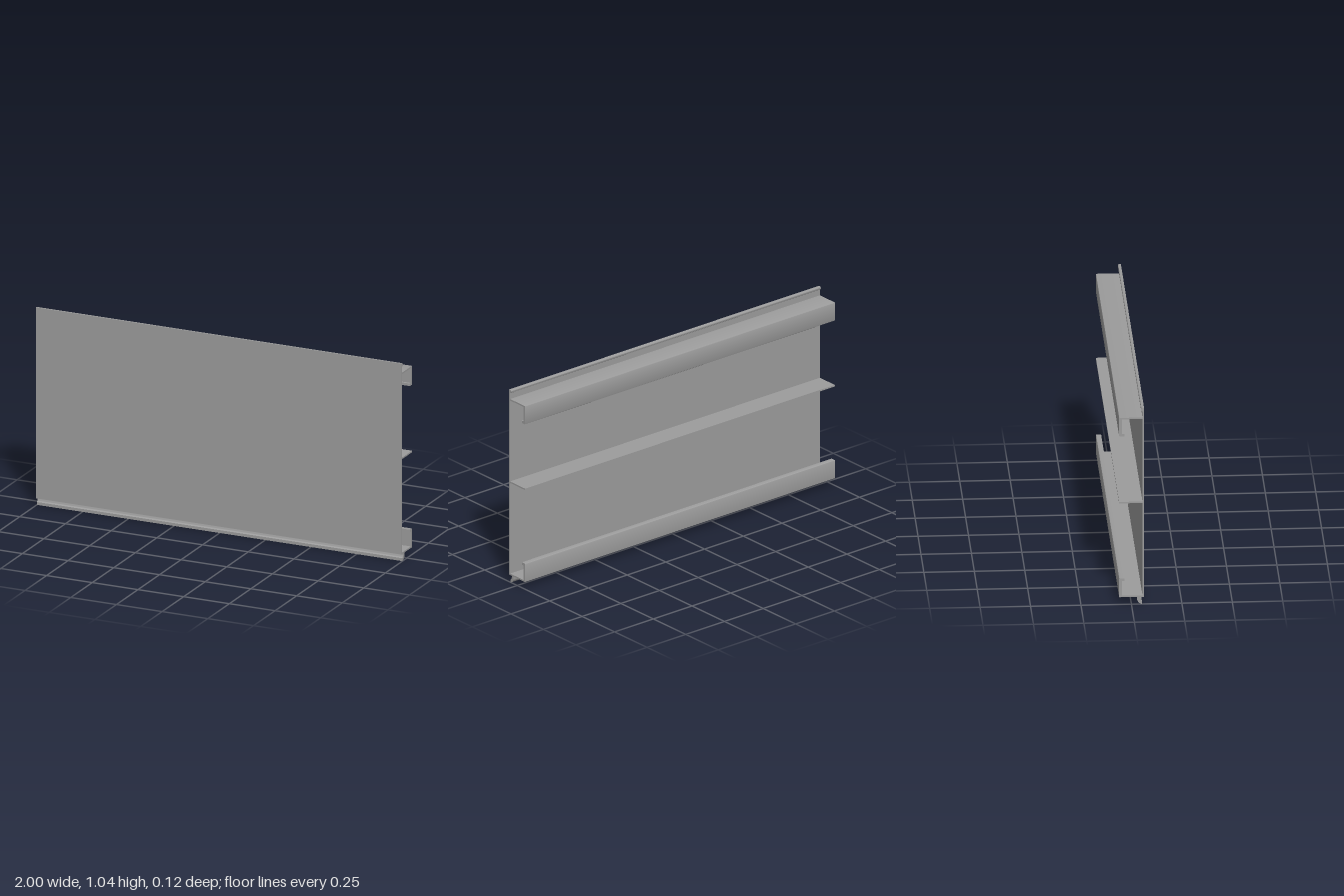
import * as THREE from 'three';
import { toCreasedNormals } from 'three/addons/utils/BufferGeometryUtils.js';

const LENGTH = 2;

export function createModel() {
  const group = new THREE.Group();
  group.name = 'extrudedPanel';
  const metal = new THREE.MeshStandardMaterial({ color: 0x9c9c9c });
  metal.name = 'grey metal';

  // Extrude a (z, y) cross-section along x.
  function addProfile(name, shape) {
    let geo = new THREE.ExtrudeGeometry(shape, { depth: LENGTH, bevelEnabled: false, curveSegments: 8 });
    geo.rotateY(-Math.PI / 2);
    geo.translate(LENGTH / 2, 0, 0);
    geo = toCreasedNormals(geo, 0.6);
    const mesh = new THREE.Mesh(geo, metal);
    mesh.name = name;
    group.add(mesh);
  }

  const polygon = (points) => new THREE.Shape(points.map(([z, y]) => new THREE.Vector2(z, y)));

  // Front sheet with a rounded bead along the back of its top edge
  const sheet = new THREE.Shape();
  sheet.moveTo(0.063, 0.038);
  sheet.lineTo(0.063, 1.037);
  sheet.lineTo(0.055, 1.037);
  sheet.quadraticCurveTo(0.048, 1.037, 0.048, 1.03);
  sheet.lineTo(0.048, 1.026);
  sheet.quadraticCurveTo(0.048, 1.021, 0.055, 1.02);
  sheet.lineTo(0.055, 0.038);
  addProfile('frontSheet', sheet);

  // Hooked channel: flange, back web and short return lip; dir points toward the lip
  function addChannel(name, yOuter, dir) {
    const y = (d) => yOuter + dir * d;
    const s = new THREE.Shape();
    s.moveTo(0.055, y(0));
    s.lineTo(-0.058, y(0));
    s.quadraticCurveTo(-0.061, y(0), -0.061, y(0.003));
    s.lineTo(-0.061, y(0.094));
    s.quadraticCurveTo(-0.061, y(0.099), -0.056, y(0.099));
    s.lineTo(-0.035, y(0.099));
    s.lineTo(-0.035, y(0.086));
    s.lineTo(-0.047, y(0.086));
    s.lineTo(-0.047, y(0.008));
    s.lineTo(0.055, y(0.008));
    addProfile(name, s);
  }
  addChannel('topChannel', 0.988, -1);
  addChannel('bottomChannel', 0.038, 1);

  // Plain stiffening rib across the middle
  addProfile('middleRib', polygon([[0.055, 0.535], [-0.061, 0.535], [-0.061, 0.543], [0.055, 0.543]]));

  // Curved drip edge hanging below the bottom flange
  const drip = new THREE.Shape();
  drip.moveTo(0.042, 0.039);
  drip.lineTo(0.042, 0.031);
  drip.quadraticCurveTo(0.042, 0.019, 0.052, 0.015);
  drip.lineTo(0.052, 0);
  drip.quadraticCurveTo(0.028, 0.006, 0.028, 0.031);
  drip.lineTo(0.028, 0.039);
  addProfile('dripEdge', drip);

  return group;
}
